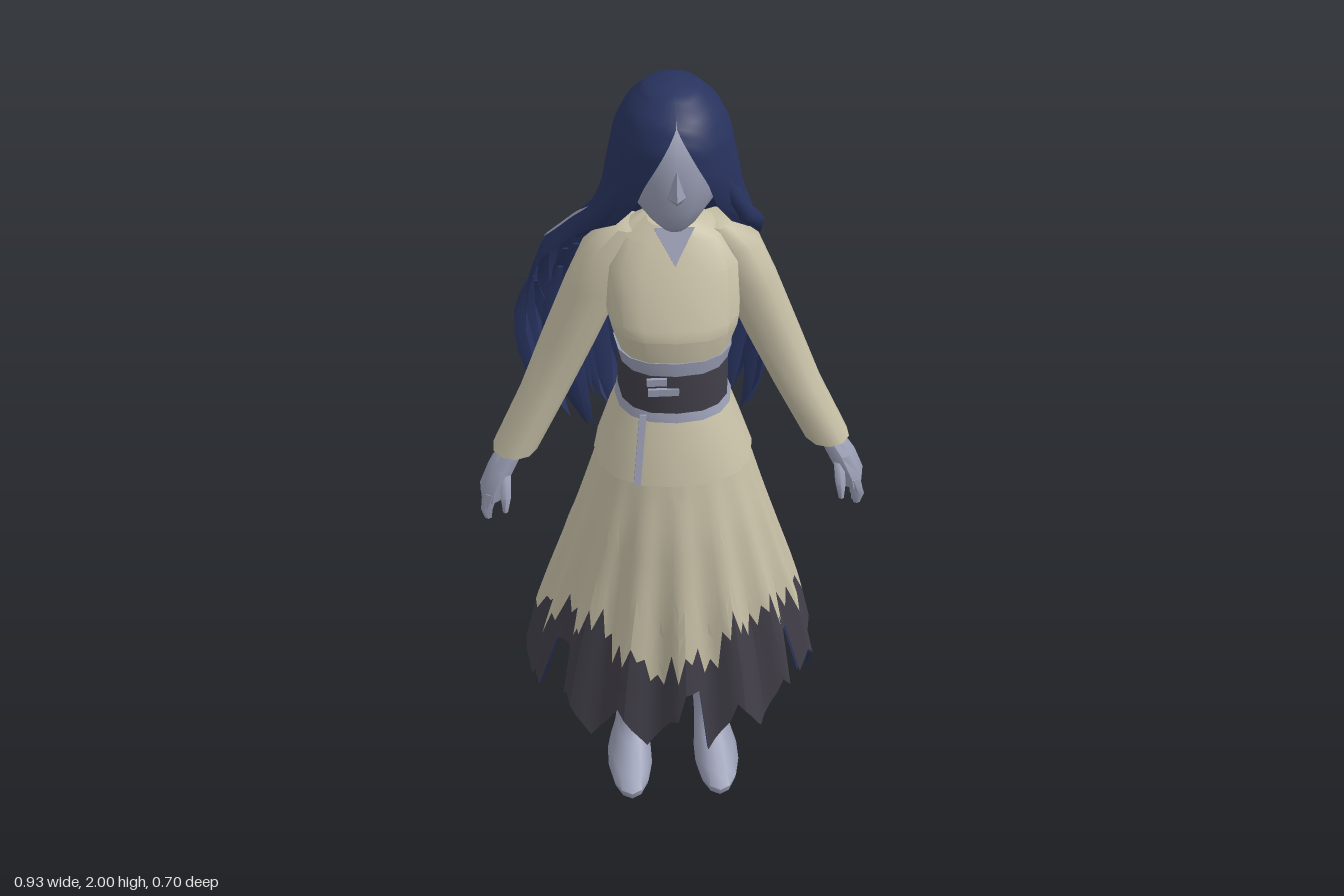
import * as THREE from 'three';
import { toCreasedNormals } from 'three/addons/utils/BufferGeometryUtils.js';

const mat = (name, color, side = THREE.FrontSide) => {
  const m = new THREE.MeshStandardMaterial({ color, side });
  m.name = name;
  return m;
};

// Small seeded random
let seed = 7;
const rnd = () => {
  seed = (seed * 16807) % 2147483647;
  return seed / 2147483647;
};

// Signed power, below 1 squares off an oval
const sp = (v, power) => Math.sign(v) * Math.abs(v) ** power;

// Linear lookup in rows whose first entry is a falling height
function at(rows, y) {
  for (let i = 1; i < rows.length; i++) {
    if (y >= rows[i][0] || i === rows.length - 1) {
      const a = rows[i - 1], b = rows[i];
      const t = (a[0] - y) / (a[0] - b[0]);
      return a.map((v, k) => v + (b[k] - v) * t);
    }
  }
}

// Grid surface from fn(u, v), v running downwards
function surface(nu, nv, fn, closed = false) {
  const pos = [], idx = [], cols = closed ? nu : nu + 1;
  for (let j = 0; j <= nv; j++)
    for (let i = 0; i < cols; i++) pos.push(...fn(i / nu, j / nv, i, j));
  for (let j = 0; j < nv; j++)
    for (let i = 0; i < nu; i++) {
      const k = (i + 1) % cols;
      const a = j * cols + i, b = a + cols, c = (j + 1) * cols + k, d = j * cols + k;
      idx.push(a, b, c, a, c, d);
    }
  const g = new THREE.BufferGeometry();
  g.setAttribute('position', new THREE.Float32BufferAttribute(pos, 3));
  g.setIndex(idx);
  g.computeVertexNormals();
  return g;
}

// Capped body from level oval sections [x, y, z, rx, rz], top to bottom
function loft(sections, n = 12, power = 1, crease = 0.8) {
  const f = sections[0], l = sections[sections.length - 1];
  const s = [[f[0], f[1], f[2], 0, 0], ...sections, [l[0], l[1], l[2], 0, 0]];
  const g = surface(n, s.length - 1, (u, v, i, j) => {
    const a = u * Math.PI * 2, [x, y, z, rx, rz] = s[j];
    return [x + rx * sp(Math.sin(a), power), y, z + rz * sp(Math.cos(a), power)];
  }, true);
  return toCreasedNormals(g, crease);
}

// Hair shell: [y, centre x, half width, middle z, depth front, depth back, spread in degrees, power]
const HAIR = [
  [2.0, 0, 0, 0.1, 0, 0, 180, 1], [1.993, 0, 0.055, 0.1, 0.06, 0.06, 180, 1],
  [1.95, 0, 0.1, 0.1, 0.13, 0.11, 180, 1], [1.9, 0, 0.125, 0.1, 0.153, 0.135, 168, 1],
  [1.82, 0, 0.142, 0.1, 0.153, 0.14, 152, 1], [1.75, 0, 0.155, 0.1, 0.13, 0.145, 145, 1],
  [1.68, 0, 0.18, 0.08, 0.1, 0.15, 135, 1], [1.6, -0.015, 0.21, 0.02, 0.08, 0.17, 108, 0.95],
  [1.5, -0.045, 0.255, -0.02, 0.06, 0.22, 97, 0.85], [1.4, -0.045, 0.285, -0.03, 0.05, 0.265, 93, 0.75],
  [1.3, -0.045, 0.295, -0.04, 0.05, 0.295, 92, 0.72], [1.2, -0.045, 0.28, -0.05, 0.05, 0.28, 90, 0.72],
  [1.05, -0.03, 0.25, -0.07, 0.05, 0.225, 90, 0.75], [0.84, -0.02, 0.18, -0.1, 0.05, 0.12, 90, 0.8],
];
function hairPoint(u, y, scale = 1) {
  const [, cx, rx, zm, f, b, spread, power] = at(HAIR, y);
  const a = THREE.MathUtils.degToRad(spread) * u, c = Math.cos(a);
  return [cx - rx * scale * sp(Math.sin(a), power), y, zm - (c > 0 ? b : f) * scale * sp(c, power)];
}

// Skirt: [y, half width, middle z, depth front, depth back]
const SKIRT = [
  [1.12, 0.165, 0.13, 0.14, 0.14], [0.9, 0.225, 0.11, 0.2, 0.19], [0.7, 0.28, 0.08, 0.25, 0.26],
  [0.5, 0.335, 0.05, 0.29, 0.325], [0.2, 0.4, 0.03, 0.32, 0.33],
];
function skirtPoint(u, y, shrink = 0) {
  const [, rx, zc, f, b] = at(SKIRT, y);
  const a = u * Math.PI * 2, c = Math.cos(a);
  const pleat = 1 + 0.045 * Math.sin(a * 15 + 1) * Math.min(1, (1.12 - y) / 0.5) - shrink;
  return [rx * pleat * Math.sin(a), y, zc + (c > 0 ? f : b) * pleat * c];
}

export function createModel() {
  seed = 7;
  const model = new THREE.Group();
  const cloth = mat('creamCloth', 0xc6bfa6);
  const dark = mat('charcoalCloth', 0x423f49);
  const pale = mat('paleLavender', 0x999db3);
  const hairMat = mat('indigoHair', 0x28335e, THREE.DoubleSide);
  const add = (name, geo, m) => {
    const mesh = new THREE.Mesh(geo, m);
    mesh.name = name;
    model.add(mesh);
    return mesh;
  };

  // Head and neck
  add('head', loft([[0, 1.96, 0.1, 0.06, 0.07], [0, 1.92, 0.1, 0.095, 0.115], [0, 1.86, 0.105, 0.11, 0.132],
    [0, 1.8, 0.115, 0.108, 0.125], [0, 1.75, 0.125, 0.09, 0.108], [0, 1.71, 0.15, 0.055, 0.072],
    [0, 1.69, 0.165, 0.03, 0.04]], 16, 1, 1.2), pale);
  add('nose', loft([[0, 1.86, 0.225, 0.01, 0.01], [0, 1.79, 0.235, 0.02, 0.024], [0, 1.77, 0.225, 0.012, 0.01]], 4, 1, 0.3), pale);
  add('neck', loft([[0, 1.74, 0.11, 0.045, 0.05], [0, 1.67, 0.1, 0.05, 0.055], [0, 1.6, 0.095, 0.07, 0.07]], 10), pale);

  // Jacket body, flared hem and belt
  add('jacket', loft([[0, 1.675, 0.1, 0.058, 0.055], [0, 1.645, 0.1, 0.115, 0.075], [0, 1.58, 0.11, 0.15, 0.1],
    [0, 1.47, 0.13, 0.152, 0.135], [0, 1.445, 0.13, 0.148, 0.142], [0, 1.375, 0.13, 0.125, 0.128],
    [0, 1.24, 0.13, 0.12, 0.12]], 16, 0.75, 0.5), cloth);
  add('jacketHem', loft([[0, 1.25, 0.13, 0.122, 0.125], [0, 1.17, 0.135, 0.155, 0.15],
    [0, 1.075, 0.14, 0.188, 0.172]], 16, 0.85), cloth);
  add('belt', loft([[0, 1.35, 0.13, 0.128, 0.132], [0, 1.25, 0.13, 0.128, 0.134]], 16, 0.8), dark);
  add('upperTrim', loft([[0, 1.385, 0.13, 0.136, 0.133], [0, 1.35, 0.13, 0.127, 0.131]], 16, 0.8), pale);
  add('lowerTrim', loft([[0, 1.25, 0.13, 0.127, 0.132], [0, 1.226, 0.13, 0.136, 0.138]], 16, 0.85), pale);
  // Underlayer peeping out below the back of the jacket
  add('hemLining', loft([[0, 1.09, 0.115, 0.172, 0.165], [0, 1.045, 0.11, 0.175, 0.165]], 16, 0.85), pale);
  for (const [x, y, w] of [[-0.03, 1.31, 0.07], [-0.045, 1.338, 0.045]])
    add('beltKnot', new THREE.BoxGeometry(w, 0.018, 0.008), pale).position.set(x, y, 0.262);
  const edge = add('jacketEdge', new THREE.BoxGeometry(0.016, 0.17, 0.008), pale);
  edge.position.set(-0.085, 1.16, 0.275);
  edge.rotation.set(-0.27, 0, -0.1);
  const vee = new THREE.Shape([[-0.045, 0.085], [0, 0], [0.045, 0.085]].map((p) => new THREE.Vector2(...p)));
  const collar = add('collar', new THREE.ExtrudeGeometry(vee, { depth: 0.008, bevelEnabled: false }), pale);
  collar.position.set(0, 1.6, 0.2);
  collar.rotation.x = -0.5;

  // Arms, hands, legs and feet
  for (const s of [1, -1]) {
    const side = s > 0 ? 'left' : 'right';
    const limb = (name, rows, m, n = 10) =>
      add(side + name, loft(rows.map(([x, ...r]) => [x * s, ...r]), n, 1, 1), m);
    limb('Sleeve', [[0.1, 1.655, 0.09, 0.035, 0.05], [0.135, 1.6, 0.085, 0.065, 0.07], [0.175, 1.5, 0.08, 0.068, 0.075],
      [0.235, 1.35, 0.07, 0.065, 0.07], [0.3, 1.2, 0.075, 0.058, 0.065], [0.375, 1.05, 0.09, 0.055, 0.062]], cloth);
    limb('Hand', [[0.375, 1.07, 0.105, 0.03, 0.036], [0.405, 1.02, 0.115, 0.036, 0.045], [0.43, 0.965, 0.12, 0.034, 0.055],
      [0.436, 0.935, 0.12, 0.028, 0.053]], pale, 8);
    for (let f = 0; f < 4; f++) {
      const z = 0.08 + f * 0.026, e = 0.868 + Math.abs(f - 1.5) * 0.012;
      limb('Finger', [[0.435, 0.96, z, 0.016, 0.015], [0.45, 0.915, z, 0.016, 0.014], [0.448, e, z, 0.009, 0.009]], pale, 6);
    }
    limb('Thumb', [[0.4, 1.01, 0.14, 0.014, 0.014], [0.402, 0.96, 0.175, 0.014, 0.014], [0.405, 0.92, 0.182, 0.007, 0.008]], pale, 6);
    limb('Leg', [[0.085, 1.0, 0.11, 0.08, 0.09], [0.085, 0.6, 0.09, 0.062, 0.068], [0.09, 0.48, 0.085, 0.05, 0.055],
      [0.095, 0.36, 0.072, 0.053, 0.06], [0.1, 0.2, 0.068, 0.043, 0.048], [0.104, 0.12, 0.068, 0.042, 0.05],
      [0.108, 0.085, 0.09, 0.045, 0.078], [0.114, 0.05, 0.135, 0.054, 0.122], [0.117, 0.028, 0.155, 0.06, 0.142],
      [0.117, 0.005, 0.155, 0.055, 0.136]], pale, 14);
  }

  // Skirt with ragged two-tone hem; slits at the centre front and both sides
  const N = 120, per = 8, border = [], hem = [];
  let tip = 0.3;
  for (let i = 0; i < N; i++) {
    if (i % per === 0) tip = 0.22 + rnd() * 0.05;
    const deg = (i / N) * 360, d = Math.min(deg, 360 - deg);
    const notch = Math.abs((i % per) - per / 2) / (per / 2);
    let h = tip + (d > 130 ? 0.05 : 0) + (d > 130 ? 0.08 : 0.13) * notch;
    if (d > 53 && d < 66) h = 0.5;
    if (deg > 2 && deg < 10) h = 0.44;
    hem.push(h);
    const rise = 0.51 + 0.09 * Math.exp(-(((d - 48) / 22) ** 2)) + 0.06 * Math.exp(-(((deg - 28) / 12) ** 2));
    border.push(rise + (i % 2 ? 0.05 : -0.03) * (0.2 + rnd()) + 0.035 * Math.sin(i * 0.9));
  }
  const panel = (top, bottom, rows, shrink = 0) => surface(N, rows,
    (u, v, i) => skirtPoint(u, top(i) + (bottom(i) - top(i)) * v, shrink), true);
  add('skirt', toCreasedNormals(panel(() => 1.12, (i) => border[i], 14), 0.4), cloth);
  add('skirtHem', toCreasedNormals(panel((i) => border[i], (i) => Math.min(hem[i], border[i] - 0.01), 5), 0.4), dark);
  add('skirtLining', panel(() => 1.1, (i) => hem[i], 12, 0.02), hairMat);

  // Tears showing the underlayer: leaf-shaped patches lying on a surface
  const patch = (name, point, u0, u1, width, top, bottom) => add(name, surface(4, 10, (u, v) =>
    point(u0 + (u1 - u0) * v + (u - 0.5) * width * Math.sin(Math.PI * v), top + (bottom - top) * v)), pale);
  for (const u of [0.69, 0.31]) patch('skirtTear', (a, y) => skirtPoint(a, y, -0.012), u, u, 0.022, 0.83, 0.66);
  patch('hairLining', (a, y) => hairPoint(a, y, 1.015), 0.62, 0.7, 0.08, 1.68, 1.46);
  patch('hairLining', (a, y) => hairPoint(a, y, 1.07), 0.95, 0.95, 0.09, 1.26, 1.04);

  // Long hair falling down the back with a toothed lower edge
  add('hair', surface(84, 40, (u, v, i) => {
    const low = 0.85 + 0.12 * Math.abs(u * 2 - 1) + 0.13 * Math.abs(((i % 12) - 6) / 6);
    return hairPoint(u * 2 - 1, 2 - (2 - low) * v ** 1.5);
  }), hairMat);

  // Separate locks: an inner layer, and an outer one that flicks out
  for (let k = 0; k < 26; k++) {
    const inner = k % 2, u = (k - 12.5) / 13.2, start = 1.48 - rnd() * 0.15;
    const end = 0.85 + rnd() * 0.1 + Math.abs(u) * 0.1, flick = 0.03 + 0.14 * rnd();
    const rows = [];
    for (let j = 0; j <= 7; j++) {
      const t = j / 7, y = start + (end - start) * t;
      const w = 0.034 * Math.sin(Math.PI * (0.08 + 0.91 * t));
      const swell = inner ? 0.78 : 0.98 + flick * t;
      rows.push([...hairPoint(u + 0.05 * Math.sin(t * 3 + k), y, swell), w, w * 0.5]);
    }
    add('backLock', loft(rows, 6, 1, 1.2), hairMat);
  }
  // Locks framing the face and lying over the shoulders
  for (const s of [1, -1])
    add('sideLock', loft([[s * 0.1, 1.82, 0.17, 0.015, 0.03], [s * 0.125, 1.74, 0.14, 0.028, 0.04],
      [s * 0.155, 1.67, 0.09, 0.03, 0.045], [s * 0.19, 1.61, 0.02, 0.025, 0.04],
      [s * 0.21, 1.55, -0.03, 0.005, 0.01]], 8, 1, 1.2), hairMat);
  return model;
}
